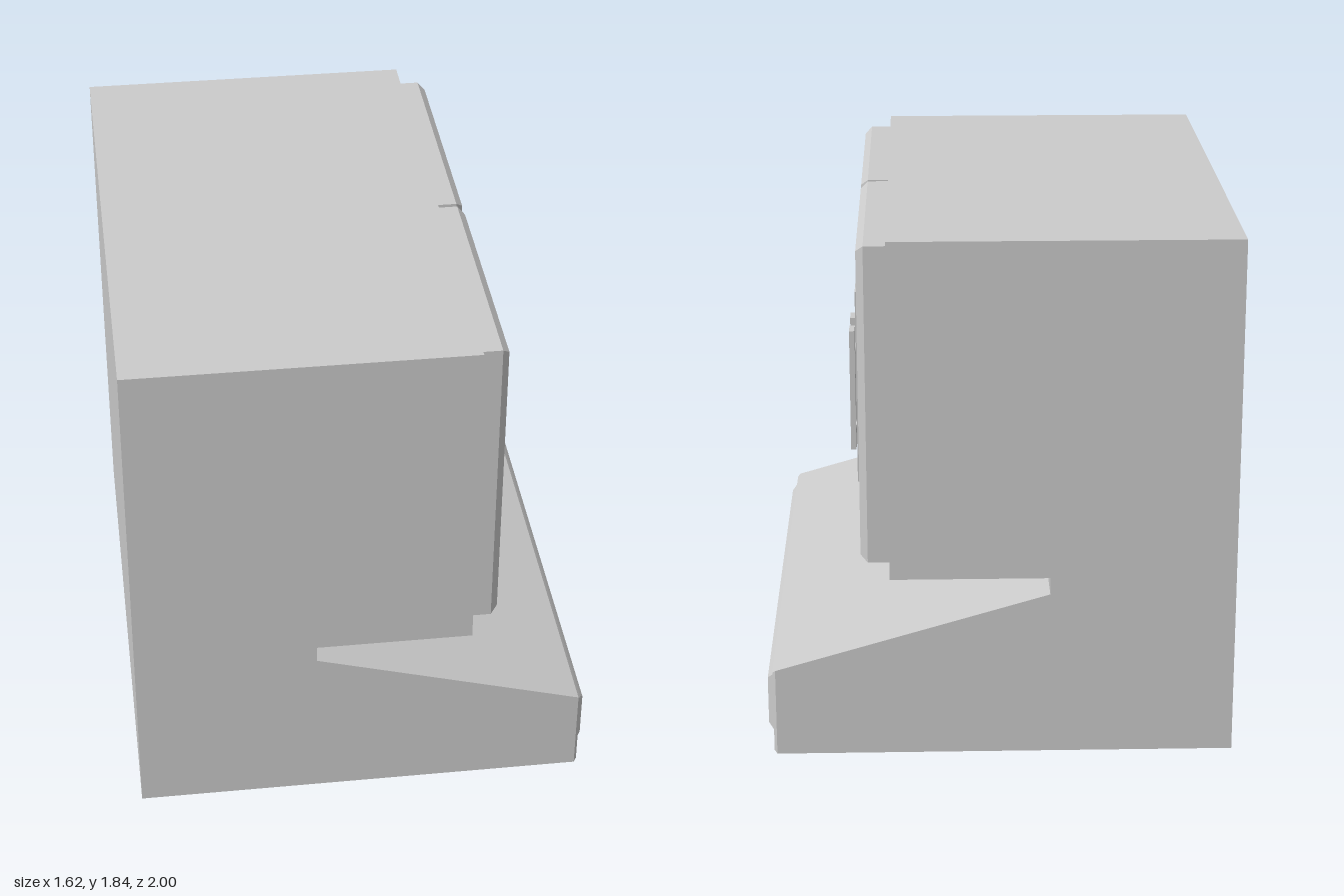
import * as THREE from 'three';
import { toCreasedNormals } from 'three/addons/utils/BufferGeometryUtils.js';

const material = new THREE.MeshStandardMaterial({ color: 0xcccccc });

function add(parent, name, geometry, x = 0, y = 0, z = 0) {
  const mesh = new THREE.Mesh(geometry, material);
  mesh.name = name;
  mesh.position.set(x, y, z);
  parent.add(mesh);
  return mesh;
}

// Box from its limits on each axis
function box(parent, name, x0, x1, y0, y1, z0, z1) {
  return add(parent, name, new THREE.BoxGeometry(x1 - x0, y1 - y0, z1 - z0),
    (x0 + x1) / 2, (y0 + y1) / 2, (z0 + z1) / 2);
}

// Moulded panel facing +x: rectangular rings of [inset, x], closed at the front
function mouldedPanel(width, height, rings) {
  const positions = [];
  const corners = rings.map(([inset, x]) => {
    const w = width / 2 - inset, h = height / 2 - inset;
    return [[x, -h, w], [x, -h, -w], [x, h, -w], [x, h, w]];
  });
  const quad = (a, b, c, d) => positions.push(...a, ...b, ...c, ...a, ...c, ...d);
  for (let i = 0; i < corners.length - 1; i++) {
    for (let j = 0; j < 4; j++) {
      const k = (j + 1) % 4;
      quad(corners[i][j], corners[i][k], corners[i + 1][k], corners[i + 1][j]);
    }
  }
  quad(...corners[corners.length - 1]);
  const geometry = new THREE.BufferGeometry();
  geometry.setAttribute('position', new THREE.Float32BufferAttribute(positions, 3));
  return toCreasedNormals(geometry, 0.3);
}

// Horizontal rectangular frame, open through the middle
function openFrame(x0, x1, z, rim, height) {
  const shape = new THREE.Shape();
  shape.moveTo(x0, -z).lineTo(x1, -z).lineTo(x1, z).lineTo(x0, z).closePath();
  const hole = new THREE.Path();
  hole.moveTo(x0 + rim, -z + rim).lineTo(x0 + rim, z - rim)
    .lineTo(x1 - rim, z - rim).lineTo(x1 - rim, -z + rim).closePath();
  shape.holes.push(hole);
  return new THREE.ExtrudeGeometry(shape, { depth: height, bevelEnabled: false }).rotateX(-Math.PI / 2);
}

export function createModel() {
  const model = new THREE.Group();
  model.name = 'rangeHoodCabinet';

  // Upper cabinet
  box(model, 'cabinetBody', -0.81, 0.38, 0.65, 1.84, -1, 1);

  // Hood with a sloping top
  const profile = new THREE.Shape([
    [-0.81, 0.28], [0.78, 0.28], [0.78, 0.315], [-0.17, 0.59], [-0.17, 0.65], [-0.81, 0.65],
  ].map(([x, y]) => new THREE.Vector2(x, y)));
  const hood = new THREE.ExtrudeGeometry(profile, { depth: 2, bevelEnabled: false });
  add(model, 'hoodTop', hood, 0, 0, -1);

  // Stepped recess on the underside
  add(model, 'hoodLowerRim', openFrame(-0.81, 0.78, 1, 0.05, 0.15));
  add(model, 'hoodUpperRim', openFrame(-0.81, 0.78, 1, 0.14, 0.13), 0, 0.15);

  // Hood front plate and its raised panel
  add(model, 'hoodFrontPlate', mouldedPanel(2, 0.315, [[0, 0.78], [0.01, 0.79]]), 0, 0.1575);
  add(model, 'hoodFrontPanel', mouldedPanel(1.92, 0.215, [[0, 0.785], [0, 0.79], [0.022, 0.81]]), 0, 0.178);

  // Door section: chamfered frame, sunken field, cove and raised centre
  const doorRings = [[0, 0.38], [0, 0.455], [0.022, 0.48], [0.083, 0.48], [0.083, 0.453], [0.15, 0.453]];
  for (let i = 1; i <= 6; i++) {
    const a = (i / 6) * Math.PI / 2;
    doorRings.push([0.15 + 0.067 * Math.sin(a), 0.453 + 0.024 * (1 - Math.cos(a))]);
  }
  doorRings.push([0.217, 0.49]);
  const doorGeometry = mouldedPanel(0.93, 1.12, doorRings);
  const postGeometry = new THREE.CylinderGeometry(0.02, 0.02, 0.04, 20).rotateZ(Math.PI / 2);

  // Pair of doors, each with a flat bar handle on two posts
  for (const side of [1, -1]) {
    const door = new THREE.Group();
    door.name = side > 0 ? 'leftDoor' : 'rightDoor';
    model.add(door);
    add(door, 'doorPanel', doorGeometry, 0, 1.25, side * 0.474);
    const z = side * 0.087;
    box(door, 'handleBar', 0.51, 0.53, 0.815, 1.275, z - 0.037, z + 0.037);
    for (const y of [0.9, 1.2]) add(door, 'handlePost', postGeometry, 0.495, y, z);
  }

  return model;
}
